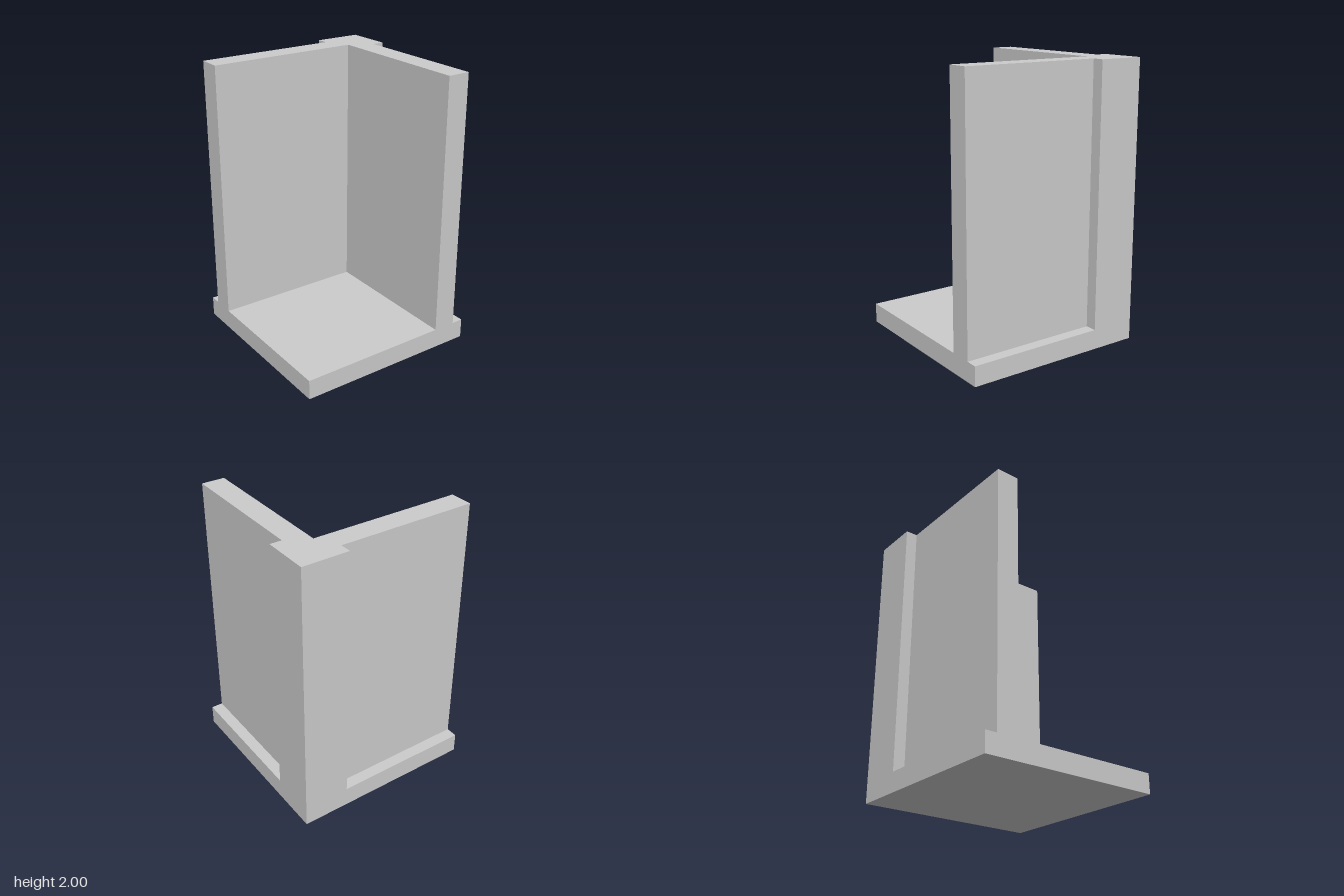
import * as THREE from 'three';

const HALF = 0.667;      // half width of the square base
const BASE_H = 0.142;    // base thickness
const HEIGHT = 2;
const INNER = 0.418;     // inner face of the walls
const OUTER = 0.583;     // recessed outer face of the walls
const POST = 0.333;      // where the corner post begins

export function createModel() {
  const group = new THREE.Group();
  const material = new THREE.MeshStandardMaterial({ color: 0xcccccc, flatShading: true });

  // Square floor slab
  const base = new THREE.Mesh(new THREE.BoxGeometry(2 * HALF, BASE_H, 2 * HALF), material);
  base.name = 'base';
  base.position.y = BASE_H / 2;
  group.add(base);

  // Two walls meeting in a thicker corner post: one plan, drawn with y = -z
  const plan = new THREE.Shape([
    [-HALF, INNER], [INNER, INNER], [INNER, -HALF], [OUTER, -HALF],
    [OUTER, POST], [HALF, POST], [HALF, HALF], [POST, HALF],
    [POST, OUTER], [-HALF, OUTER],
  ].map(([x, y]) => new THREE.Vector2(x, y)));
  const wallGeometry = new THREE.ExtrudeGeometry(plan, { depth: HEIGHT - BASE_H, bevelEnabled: false });
  wallGeometry.rotateX(-Math.PI / 2);
  const walls = new THREE.Mesh(wallGeometry, material);
  walls.name = 'cornerWalls';
  walls.position.y = BASE_H;
  group.add(walls);

  return group;
}
